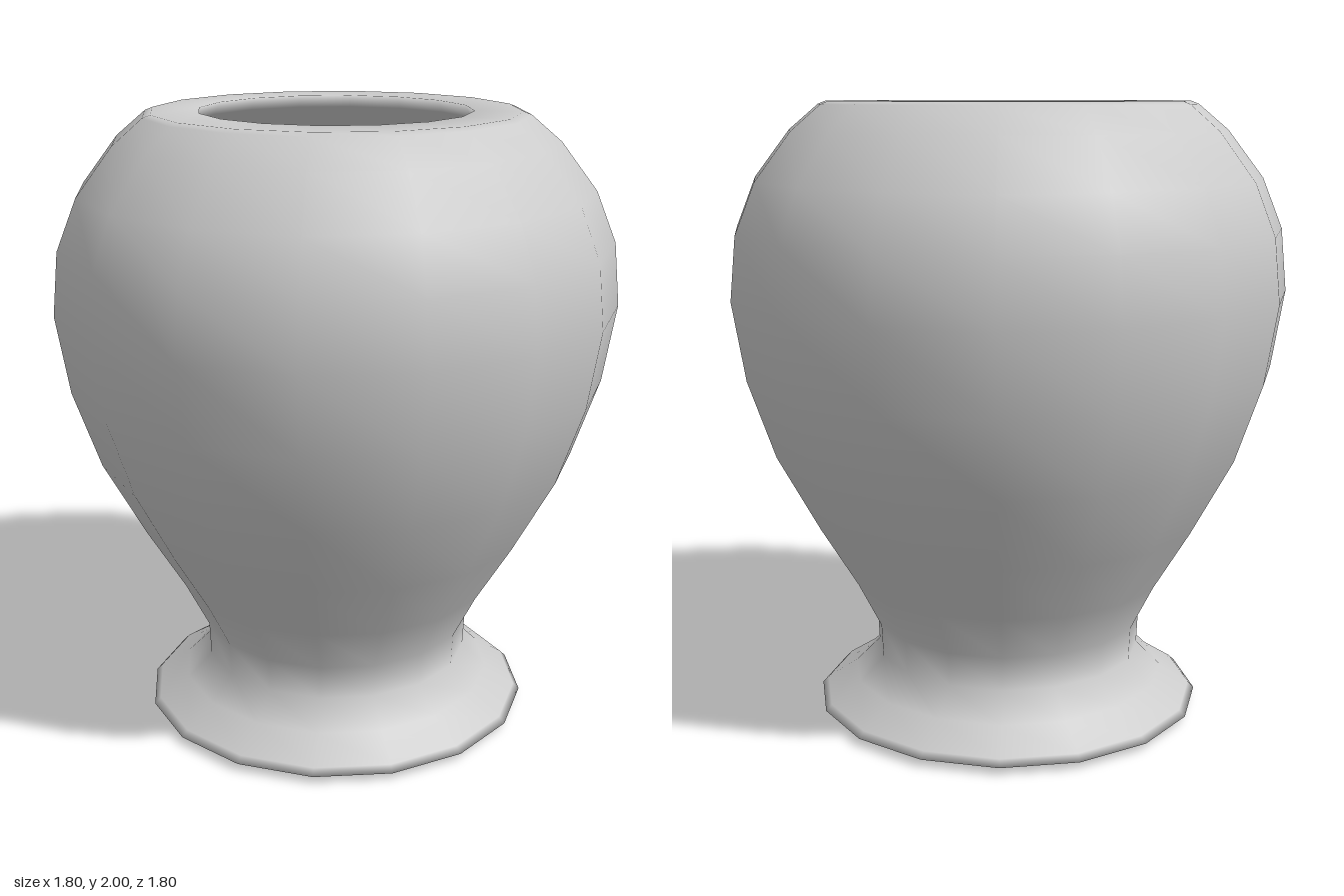
import * as THREE from 'three';

const SIDES = 16;

// Turns a list of [radius, height] pairs into a smooth lathed mesh.
function turned(name, profile, material) {
  const points = profile.map(([r, y]) => new THREE.Vector2(r, y));
  const mesh = new THREE.Mesh(new THREE.LatheGeometry(points, SIDES), material);
  mesh.name = name;
  return mesh;
}

export function createModel() {
  const group = new THREE.Group();
  group.name = 'vase';
  const material = new THREE.MeshStandardMaterial({ color: 0xcccccc, side: THREE.DoubleSide });

  // Underside, flared foot, neck, belly, shoulder, flat rim, then the hollow down to its floor
  const profile = [
    [0, 0], [0.45, 0.005], [0.6, 0.015], [0.64, 0.025], [0.62, 0.045],
    [0.52, 0.11], [0.44, 0.19], [0.445, 0.3], [0.52, 0.45], [0.64, 0.65],
    [0.775, 0.9], [0.86, 1.15], [0.9, 1.4], [0.88, 1.6], [0.815, 1.76],
    [0.7, 1.91], [0.605, 1.99], [0.58, 2], [0.43, 2],
    [0.45, 1.96], [0.6, 1.83], [0.7, 1.68], [0.755, 1.53], [0.765, 1.4],
    [0.73, 1.18], [0.645, 0.94], [0.52, 0.7], [0.4, 0.5], [0.31, 0.33],
    [0.3, 0.21], [0.33, 0.13], [0.25, 0.1], [0, 0.09],
  ];
  group.add(turned('vaseBody', profile, material));
  return group;
}
